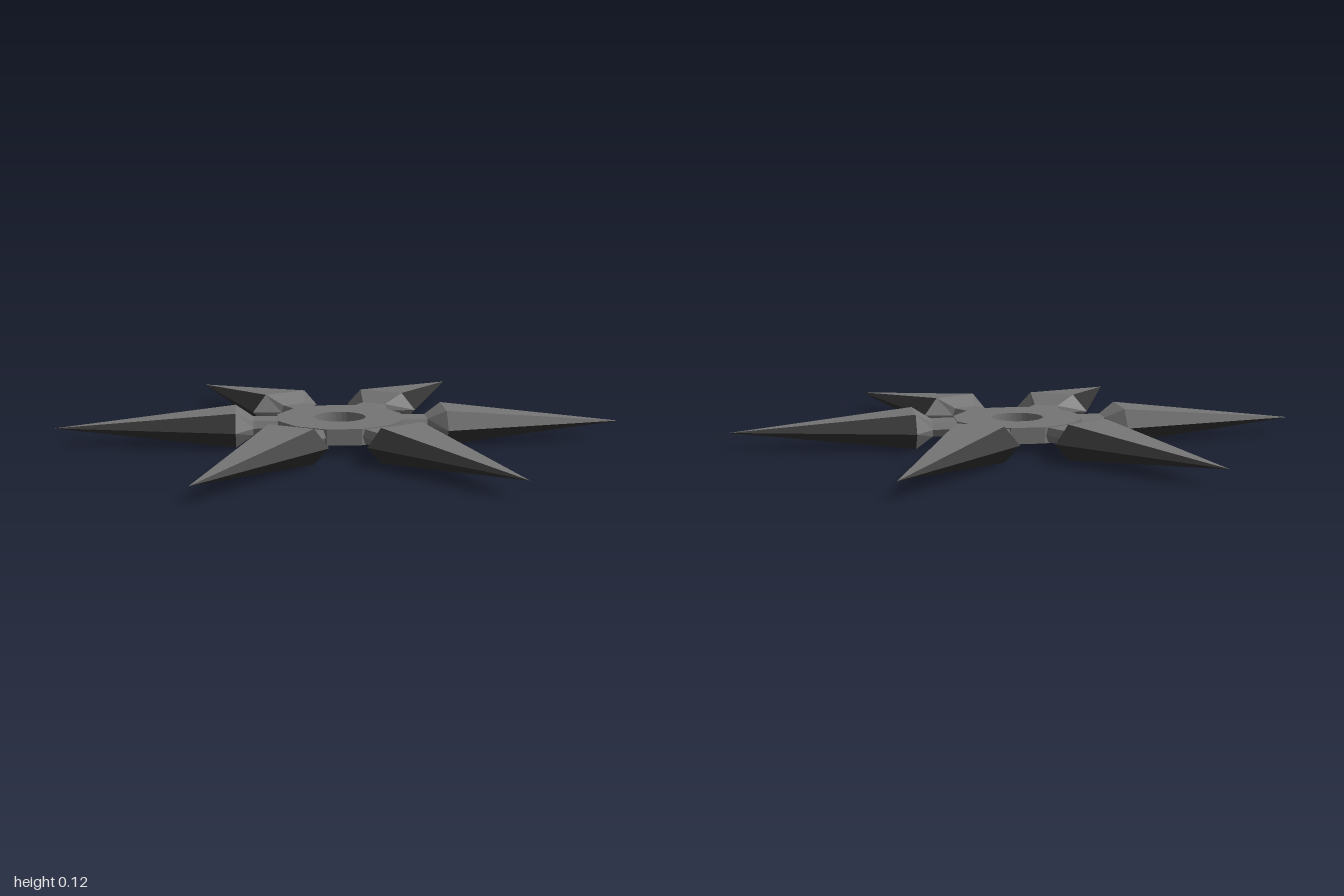
import * as THREE from 'three';

const MID = 0.06; // height of the middle plane

// Flattened hexagon: side points at +-w, flat top and bottom of half width f, half height h
function hexagon(z, w, f, h) {
  return [[w, 0], [f, h], [-f, h], [-w, 0], [-f, -h], [f, -h]].map(([x, y]) => [x, y, z]);
}

// Faceted skin joining two cross-sections along +z, on the chosen sides only
function loft(a, b, sides) {
  const pos = [];
  for (const j of sides) {
    const k = (j + 1) % 6;
    pos.push(...a[j], ...a[k], ...b[k], ...a[j], ...b[k], ...b[j]);
  }
  const g = new THREE.BufferGeometry();
  g.setAttribute('position', new THREE.Float32BufferAttribute(pos, 3));
  g.computeVertexNormals();
  return g;
}

export function createModel() {
  const model = new THREE.Group();
  model.name = 'throwingStar';
  const steel = new THREE.MeshStandardMaterial({ color: 0x757575, flatShading: true });
  const darkSteel = new THREE.MeshStandardMaterial({ color: 0x333333, flatShading: true });

  // Twelve-sided hub with a round hole; a flat side faces each arm
  const radius = 0.228, half = 0.028;
  const outline = new THREE.Shape();
  for (let i = 0; i < 12; i++) {
    const a = (i + 0.5) * Math.PI / 6;
    outline[i ? 'lineTo' : 'moveTo'](radius * Math.cos(a), radius * Math.sin(a));
  }
  outline.closePath();
  const hole = new THREE.Path();
  hole.absarc(0, 0, 0.09, 0, Math.PI * 2, true);
  outline.holes.push(hole);
  const hubGeo = new THREE.ExtrudeGeometry(outline, { depth: half * 2, bevelEnabled: false, curveSegments: 16 });
  hubGeo.translate(0, 0, -half);
  hubGeo.rotateX(-Math.PI / 2);
  const hub = new THREE.Mesh(hubGeo, steel);
  hub.name = 'hub';
  hub.position.y = MID;
  model.add(hub);

  // Cross-sections of an arm, from the hub outwards
  const root = hexagon(0.2, 0.055, 0.045, 0.025);
  const neckEnd = hexagon(0.305, 0.055, 0.045, 0.025);
  const widest = hexagon(0.367, 0.14, 0.085, 0.06);
  const tip = hexagon(1, 0, 0, 0);
  const all = [0, 1, 2, 3, 4, 5];

  // Parts of an arm: the blade has grey flats and dark ground edges
  const parts = [
    ['neck', loft(root, neckEnd, all), steel],
    ['shoulder', loft(neckEnd, widest, all), steel],
    ['bladeFlats', loft(widest, tip, [1, 4]), steel],
    ['bladeEdges', loft(widest, tip, [0, 2, 3, 5]), darkSteel],
  ];

  // Six arms around the hub
  for (let i = 0; i < 6; i++) {
    const arm = new THREE.Group();
    arm.name = `arm${i + 1}`;
    for (const [name, geometry, material] of parts) {
      const mesh = new THREE.Mesh(geometry, material);
      mesh.name = name;
      arm.add(mesh);
    }
    arm.rotation.y = i * Math.PI / 3;
    arm.position.set(i === 3 ? -0.008 : 0, MID, 0);
    model.add(arm);
  }
  return model;
}
